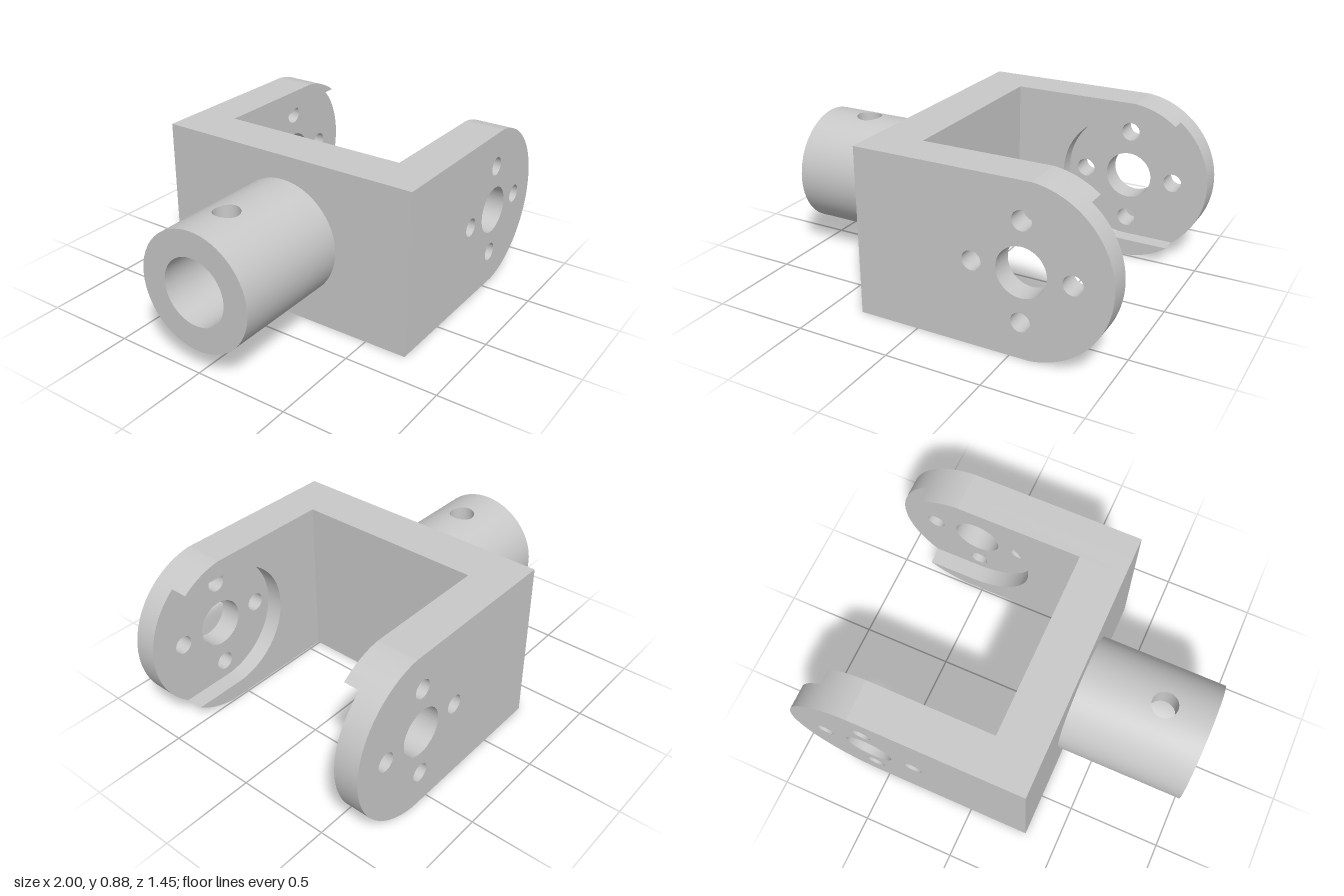
import * as THREE from 'three';
import { toCreasedNormals } from 'three/addons/utils/BufferGeometryUtils.js';
import { ParametricGeometry } from 'three/addons/geometries/ParametricGeometry.js';

const MID = 0.4425, HEIGHT = 0.885;      // bracket mid height and full height
const BACK = -0.326, WEB = -0.078;       // web from BACK to WEB along x
const Z_IN = 0.509, Z_OUT = 0.726;       // inner and outer arm faces along z
const PIVOT = 0.555, R_END = 0.445, R_POCKET = 0.3515;
const R_STUB = 0.314, R_BORE = 0.178, R_PIN = 0.068, X_PIN = -0.75;

// Full arm outline with the pivot hole and four bolt holes
function armShape() {
  const a = Math.asin(MID / R_END);
  const s = new THREE.Shape();
  s.moveTo(BACK, HEIGHT);
  s.lineTo(BACK, 0);
  s.absarc(PIVOT, MID, R_END, -a, a, false);
  const hole = (x, y, r) => s.holes.push(new THREE.Path().absarc(x, y, r, 0, Math.PI * 2, true));
  hole(PIVOT, MID, 0.128);
  for (const [dx, dy] of [[1, 0], [0, 1], [-1, 0], [0, -1]]) hole(PIVOT + dx * 0.253, MID + dy * 0.253, 0.05);
  return s;
}

// Inner layer of the arm, cut by a round-ended slot that opens at the tip
function pocketShape() {
  const a = Math.asin(MID / R_END), b = Math.asin(R_POCKET / R_END);
  const s = new THREE.Shape();
  s.moveTo(BACK, HEIGHT);
  s.lineTo(BACK, 0);
  s.absarc(PIVOT, MID, R_END, -a, -b, false);
  s.absarc(PIVOT, MID, R_POCKET, -Math.PI / 2, -Math.PI * 1.5, true);
  s.absarc(PIVOT, MID, R_END, b, a, false);
  return s;
}

function slab(shape, z0, z1) {
  const g = new THREE.ExtrudeGeometry(shape, { depth: z1 - z0, bevelEnabled: false, curveSegments: 96 });
  return toCreasedNormals(g.translate(0, 0, z0), 0.09);
}

// Cylinder wall along x, as a grid running from the pin hole's edge to the wall's borders
function wallPoint(radius, u, v, target) {
  const k = Math.min(Math.floor(u * 4), 3), w = (u * 4 - k) * 2 - 1;
  const [px, pq] = [[1, w], [-w, 1], [-1, -w], [w, -1]][k];
  const a = u * Math.PI * 2 - Math.PI / 4;
  const x0 = X_PIN + R_PIN * Math.cos(a), q0 = Math.asin(R_PIN * Math.sin(a) / radius);
  const x1 = THREE.MathUtils.lerp(-1, BACK, (px + 1) / 2), q1 = pq * Math.PI;
  const q = THREE.MathUtils.lerp(q0, q1, v);
  target.set(THREE.MathUtils.lerp(x0, x1, v), MID + radius * Math.cos(q), radius * Math.sin(q));
}

export function createModel() {
  const metal = new THREE.MeshStandardMaterial({ color: 0xc9c9c9 });
  metal.name = 'grey metal';
  const model = new THREE.Group();
  model.name = 'clevisBracket';
  const add = (name, geometry, parent = model) => {
    const m = new THREE.Mesh(geometry, metal);
    m.name = name;
    parent.add(m);
  };

  // Web joining both arms
  add('web', new THREE.BoxGeometry(WEB - BACK, HEIGHT, Z_IN * 2).translate((WEB + BACK) / 2, MID, 0));

  // Arms: drilled outer plate and pocketed inner plate; the back pocket is slightly shallower
  for (const [name, side, floor] of [['front', 1, 0.604], ['back', -1, 0.595]]) {
    const span = (a, b) => (side > 0 ? [a, b] : [-b, -a]);
    const arm = new THREE.Group();
    arm.name = name + 'Arm';
    add(name + 'ArmPlate', slab(armShape(), ...span(floor, Z_OUT)), arm);
    add(name + 'ArmPocket', slab(pocketShape(), ...span(Z_IN, floor)), arm);
    model.add(arm);
  }

  // Hollow stub with a pin hole through its top wall
  const stub = new THREE.Group();
  stub.name = 'stub';
  add('stubOuterWall', new ParametricGeometry((u, v, t) => wallPoint(R_STUB, u, v, t), 256, 32), stub);
  add('stubBore', new ParametricGeometry((u, v, t) => wallPoint(R_BORE, 1 - u, v, t), 256, 32), stub);
  const low = new THREE.Vector3(), high = new THREE.Vector3();
  add('pinHole', new ParametricGeometry((u, v, t) => {
    wallPoint(R_BORE, u, 0, low);
    wallPoint(R_STUB, u, 0, high);
    t.lerpVectors(low, high, v);
  }, 256, 1), stub);
  add('stubEnd', new THREE.RingGeometry(R_BORE, R_STUB, 64).rotateY(-Math.PI / 2).translate(-1, MID, 0), stub);
  model.add(stub);

  return model;
}
